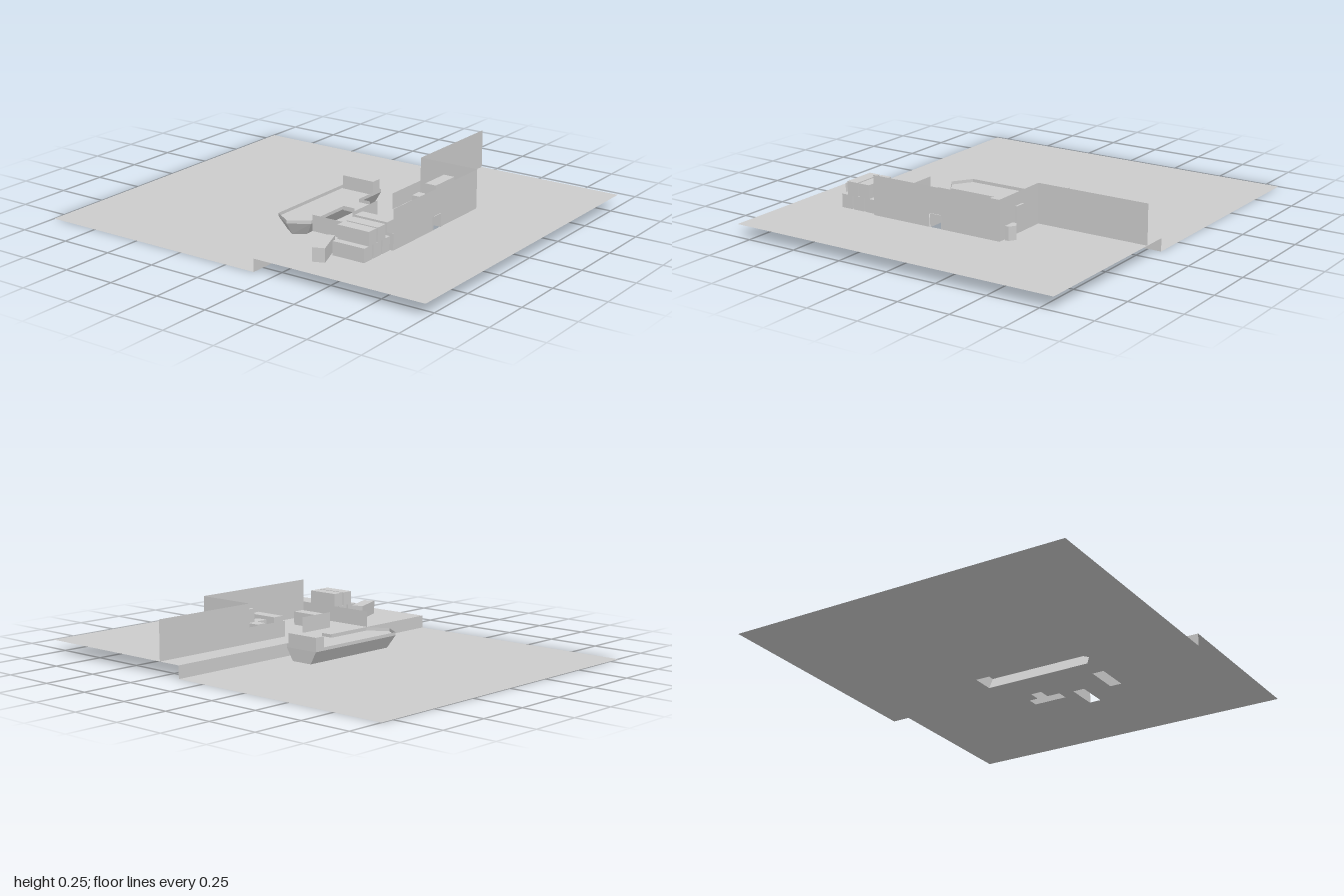
import * as THREE from 'three';

const GROUND = 0.06, CW = 0.056, CL = 0.165, CH = 0.0635;

export function createModel() {
  const model = new THREE.Group();
  const mat = new THREE.MeshStandardMaterial({ color: 0xcccccc, flatShading: true, side: THREE.DoubleSide });

  const add = (name, geo, parent = model) => {
    const mesh = new THREE.Mesh(geo, mat);
    mesh.name = name;
    parent.add(mesh);
    return mesh;
  };
  const group = (name) => {
    const g = new THREE.Group();
    g.name = name;
    model.add(g);
    return g;
  };
  const rect = (x0, x1, z0, z1) => [[x0, z0], [x0, z1], [x1, z1], [x1, z0]];
  const vecs = (pts) => pts.map(([x, z]) => new THREE.Vector2(x, -z));

  // Flat horizontal sheet from [x, z] corners, with optional openings
  const sheet = (name, pts, y, holes = [], parent = model) => {
    const shape = new THREE.Shape(vecs(pts));
    for (const h of holes) shape.holes.push(new THREE.Path(vecs(h)));
    const geo = new THREE.ShapeGeometry(shape).rotateX(-Math.PI / 2).translate(0, y, 0);
    return add(name, geo, parent);
  };

  // Thin band between two matching [x, z] paths at two heights
  const band = (name, low, y0, high, y1, parent = model) => {
    const pos = [];
    for (let i = 0; i < low.length - 1; i++) {
      const a = [low[i][0], y0, low[i][1]], b = [low[i + 1][0], y0, low[i + 1][1]];
      const c = [high[i + 1][0], y1, high[i + 1][1]], d = [high[i][0], y1, high[i][1]];
      pos.push(...a, ...b, ...c, ...a, ...c, ...d);
    }
    const geo = new THREE.BufferGeometry();
    geo.setAttribute('position', new THREE.Float32BufferAttribute(pos, 3));
    geo.computeVertexNormals();
    return add(name, geo, parent);
  };
  const wall = (name, path, y0, y1, parent) => band(name, path, y0, path, y1, parent);

  // Box from its limits; faces listed in "open" are left out (0 = +x, 3 = bottom)
  const box = (name, x0, x1, y0, y1, z0, z1, parent, open = []) => {
    const geo = new THREE.BoxGeometry(x1 - x0, y1 - y0, z1 - z0);
    const index = Array.from(geo.index.array).filter((_, i) => !open.includes(Math.floor(i / 6)));
    geo.setIndex(index);
    geo.clearGroups();
    geo.translate((x0 + x1) / 2, (y0 + y1) / 2, (z0 + z1) / 2);
    return add(name, geo, parent);
  };

  // Hull outlines, starting and ending at the gangway gap on the +x side
  const outline = (w, stern, shoulder, tip, close) => {
    const pts = [[w, -0.035], [w, stern], [-w, stern], [-w, shoulder], [0, tip], [w, shoulder], [w, 0.085]];
    return close ? [...pts, pts[0]] : pts;
  };
  const keel = outline(0.055, -0.21, 0.31, 0.35, true);
  const sheer = outline(0.09, -0.213, 0.33, 0.39, true);

  // Water and raised quay
  sheet('water', rect(-1, 0.15, -0.815, 0.815), 0, [keel.slice(0, -1)]);
  const lowStackHole = [[0.395, -0.2], [0.395, -0.155], [0.335, -0.155], [0.335, -0.1], [0.395, -0.1],
    [0.395, -0.035], [0.451, -0.035], [0.451, -0.2]];
  sheet('quay', rect(0.15, 1, -0.815, 0.815), GROUND,
    [lowStackHole, rect(0.41, 0.568, 0.032, 0.09), rect(0.28, 0.45, 0.21, 0.268)]);
  wall('quayEdge', [[0.15, 0.815], [0.15, -0.815]], 0, GROUND);

  // Ship
  const ship = group('ship');
  band('hull', keel, 0, sheer, GROUND, ship);
  sheet('deck', sheer.slice(0, -1), GROUND, [], ship);
  const rail = sheer.slice(0, -1);
  wall('bulwark', rail, GROUND, 0.075, ship);
  box('cabin', -0.085, 0.085, GROUND, 0.124, -0.208, -0.155, ship);

  // Gangway with side rails
  const gangway = group('gangway');
  box('gangwayPlank', 0.09, 0.15, 0.055, GROUND, -0.035, 0.085, gangway);
  for (const z of [-0.035, 0.085]) wall('gangwayRail', [[0.09, z], [0.15, z]], GROUND, 0.075, gangway);

  // Yard walls: tall ones outside, low ones towards the ship
  const walls = group('yardWalls');
  wall('tallWall', [[0.27, -0.815], [0.27, -0.27], [0.57, -0.27]], GROUND, 0.245, walls);
  const gate = [[-0.27, GROUND], [0.03, GROUND], [0.03, 0.117], [0.037, 0.124], [0.09, 0.124],
    [0.097, 0.117], [0.097, GROUND], [0.4, GROUND], [0.4, 0.245], [-0.27, 0.245]];
  const gateShape = new THREE.Shape(gate.map(([z, y]) => new THREE.Vector2(z, y)));
  add('gateWall', new THREE.ShapeGeometry(gateShape).rotateY(-Math.PI / 2).translate(0.57, 0, 0), walls);
  wall('lowEndWall', [[0.15, 0.4], [0.57, 0.4]], GROUND, 0.135, walls);
  wall('lowFrontWall', [[0.27, -0.27], [0.27, -0.04]], GROUND, 0.135, walls);
  wall('lowFrontWall', [[0.27, 0.08], [0.27, 0.27]], GROUND, 0.135, walls);

  // Stacked containers outside the low wall: three below, two above
  const stack = group('containerStack');
  const top = GROUND + CH;
  for (const z of [0.404, 0.47, 0.536]) box('container', 0.395, 0.555, GROUND, top, z, z + CW, stack);
  for (const z of [0.438, 0.503]) box('container', 0.395, 0.555, top, top + CH, z, z + CW, stack);

  // Container lying at an angle
  const loose = add('looseContainer', new THREE.BoxGeometry(CW, CH, CL));
  loose.position.set(0.365, GROUND + CH / 2, 0.615);
  loose.rotation.y = 0.37;

  // Containers inside the yard
  const yard = group('yardContainers');
  box('lowerContainer', 0.395, 0.451, GROUND, top, -0.2, -0.035, yard, [3]);
  box('crossContainer', 0.335, 0.395, GROUND, top, -0.155, -0.1, yard, [0, 3]);
  box('upperContainer', 0.395, 0.451, top, top + CH, -0.28, -0.115, yard);
  box('gateContainer', 0.41, 0.573, GROUND, top, 0.032, 0.09, yard, [0, 3]);
  box('sideContainer', 0.28, 0.45, GROUND, top, 0.21, 0.268, yard, [3]);

  // Small five-sided hut behind the tall wall
  const hut = [[0.48, -0.277], [0.54, -0.277], [0.54, -0.296], [0.51, -0.315], [0.48, -0.296]];
  const hutGroup = group('hut');
  wall('hutWalls', [...hut, hut[0]], GROUND, top, hutGroup);
  sheet('hutRoof', hut, top, [], hutGroup);

  return model;
}
